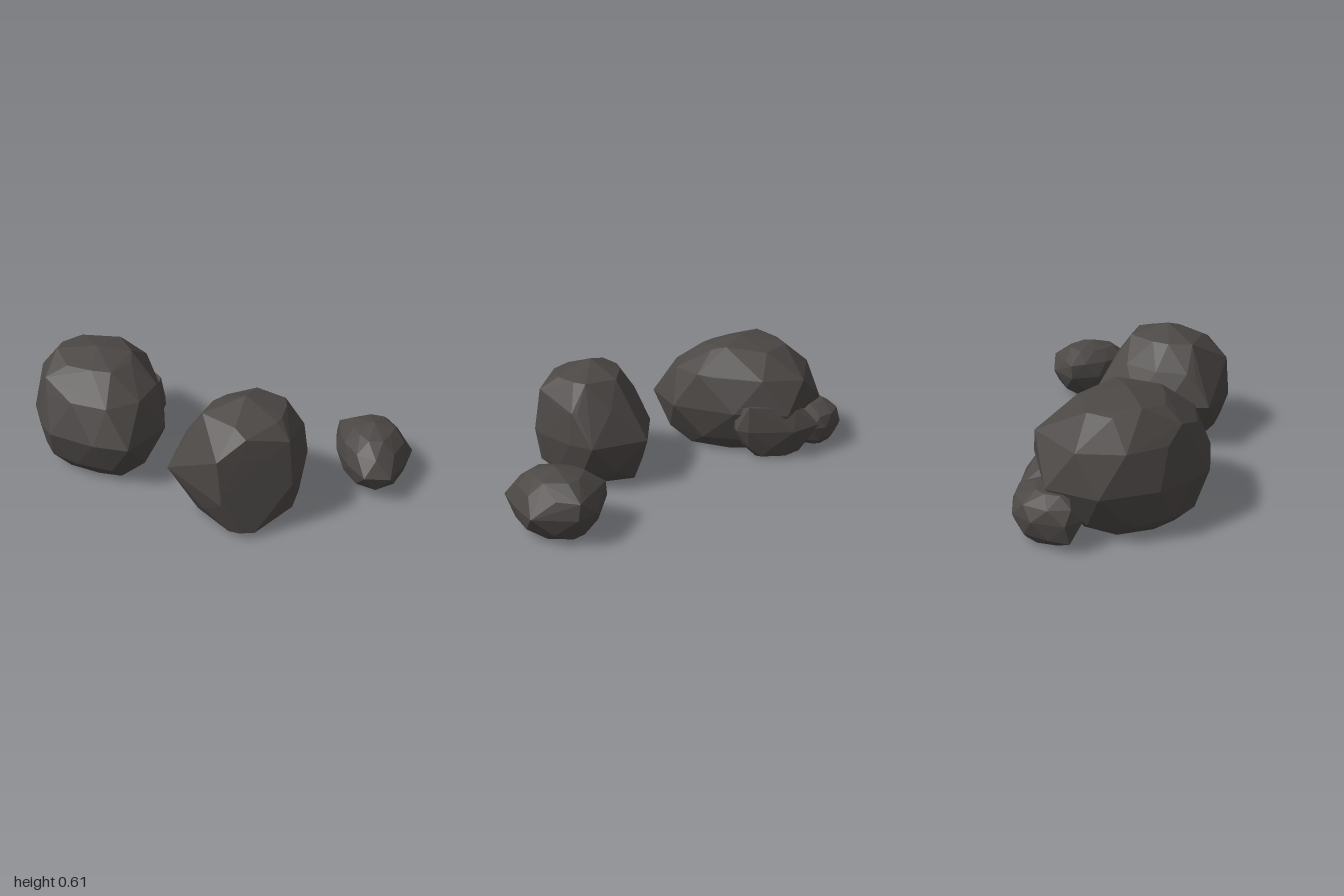
import * as THREE from 'three';
import { ConvexGeometry } from 'three/addons/geometries/ConvexGeometry.js';

const stone = new THREE.MeshStandardMaterial({ color: 0x4b4745, flatShading: true });
stone.name = 'dark stone';

// A faceted boulder: its widest outline [x, z] is repeated at several heights.
// ring = [y, scaleX, scaleZ, centreX, centreZ, stagger]; extras are single corners.
function boulder(name, outline, [cx, cz], rings, extras = []) {
  const points = extras.map((p) => new THREE.Vector3(...p));
  for (const [y, sx, sz, rx = cx, rz = cz, stagger = 0] of rings) {
    outline.forEach(([x, z], i) => {
      const [nx, nz] = outline[(i + 1) % outline.length];
      const px = x + (nx - x) * stagger;
      const pz = z + (nz - z) * stagger;
      points.push(new THREE.Vector3(rx + (px - cx) * sx, y, rz + (pz - cz) * sz));
    });
  }
  const mesh = new THREE.Mesh(new ConvexGeometry(points), stone);
  mesh.name = name;
  return mesh;
}

export function createModel() {
  const group = new THREE.Group();
  group.name = 'boulders';

  // Largest boulder
  group.add(boulder('largeBoulder',
    [[-1, -0.35], [-1, -0.08], [-0.93, 0.1], [-0.86, 0.2], [-0.62, 0.3], [-0.44, 0.33],
      [-0.28, 0.1], [-0.33, -0.25], [-0.46, -0.51], [-0.84, -0.54]],
    [-0.64, -0.12],
    [
      [0, 0.67, 0.63, -0.64, -0.09],
      [0.08, 0.92, 0.84, -0.64, -0.1, 0.5],
      [0.25, 1, 1],
      [0.43, 0.9, 0.87, -0.65, -0.14, 0.5],
      [0.55, 0.56, 0.47, -0.66, -0.14],
    ],
    [[-0.65, 0.6, -0.12], [-0.86, 0.58, -0.12], [-0.47, 0.575, -0.12],
      [-0.89, 0.5, 0.05], [-0.6, 0.42, -0.53], [-0.33, 0.44, -0.02]]));

  // Middle boulder with a broad, flat front facet
  group.add(boulder('middleBoulder',
    [[0.2, -0.03], [-0.05, 0.11], [-0.16, 0.23], [-0.23, 0.45], [0.04, 0.67],
      [0.18, 0.62], [0.37, 0.555], [0.41, 0.48], [0.45, 0.27], [0.44, 0.14]],
    [0.13, 0.33],
    [
      [0.005, 0.6, 0.78, 0.13, 0.35],
      [0.09, 0.87, 0.95, 0.15, 0.34, 0.5],
      [0.25, 1, 1],
      [0.41, 0.86, 0.84, 0.14, 0.35, 0.5],
      [0.54, 0.58, 0.53, 0.15, 0.35],
    ],
    [[0.14, 0.605, 0.35], [0.13, 0.04, 0.67], [0.2, 0.03, 0.65], [0.04, 0.2, 0.675],
      [0.02, 0.42, 0.645], [0.15, 0.51, 0.585], [0.35, 0.47, 0.525],
      [-0.16, 0.38, 0.4], [0.425, 0.41, 0.27]]));

  // Small boulder standing apart
  group.add(boulder('smallBoulder',
    [[0.62, -0.07], [0.79, -0.14], [0.9, -0.11], [1, 0.08], [0.94, 0.22],
      [0.86, 0.35], [0.73, 0.35], [0.66, 0.24], [0.61, 0.09]],
    [0.8, 0.1],
    [
      [0.015, 0.57, 0.55, 0.8, 0.07],
      [0.06, 0.92, 0.88, 0.8, 0.1, 0.5],
      [0.145, 1, 1],
      [0.225, 0.9, 0.86, 0.79, 0.09, 0.5],
      [0.285, 0.55, 0.52, 0.79, 0.09],
    ],
    [[0.79, 0.32, 0.1], [0.63, 0.22, -0.07], [0.88, 0.22, -0.11]]));

  // Stone half sunk into the side of the largest boulder
  group.add(boulder('sideStone',
    [[-0.7, -0.52], [-0.64, -0.62], [-0.46, -0.55], [-0.33, -0.34], [-0.32, -0.27], [-0.38, -0.22], [-0.6, -0.25]],
    [-0.5, -0.41],
    [
      [0.01, 0.6, 0.5, -0.5, -0.43],
      [0.07, 0.85, 0.82, -0.5, -0.42, 0.5],
      [0.165, 1, 1],
      [0.255, 0.82, 0.8, -0.5, -0.38, 0.5],
    ],
    [[-0.37, 0.27, -0.23], [-0.35, 0.3, -0.33], [-0.41, 0.295, -0.42], [-0.55, 0.29, -0.4]]));

  // Stone tucked behind the largest boulder
  group.add(boulder('backStone',
    [[-0.985, -0.49], [-0.91, -0.62], [-0.81, -0.68], [-0.67, -0.65], [-0.62, -0.6], [-0.6, -0.47], [-0.95, -0.4]],
    [-0.81, -0.54],
    [
      [0.015, 0.6, 0.58],
      [0.06, 0.95, 0.92, -0.81, -0.54, 0.5],
      [0.14, 1, 1],
      [0.2, 0.92, 0.9, -0.81, -0.54, 0.5],
      [0.24, 0.5, 0.45, -0.81, -0.51],
    ],
    [[-0.98, 0.05, -0.47]]));

  return group;
}
